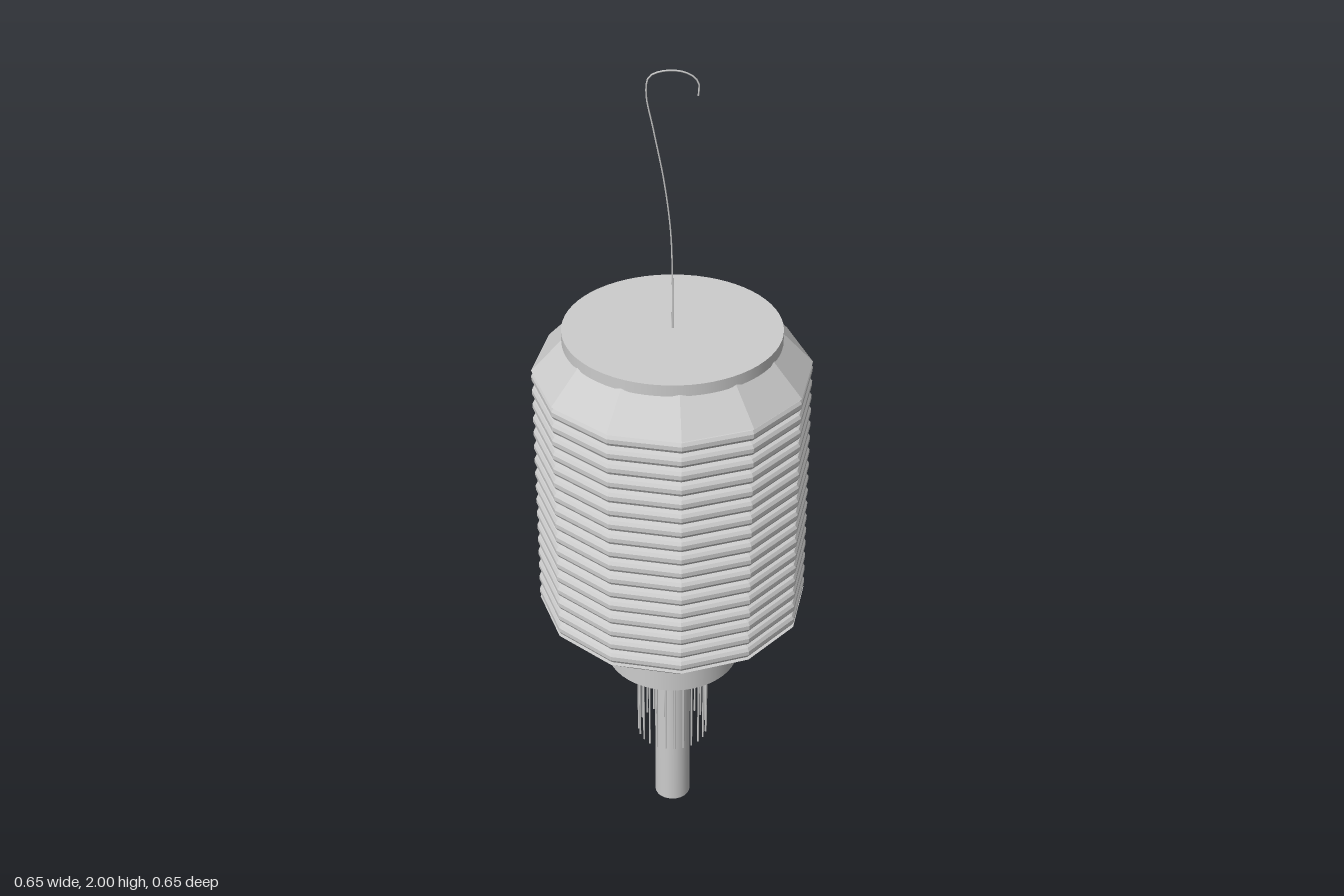
import * as THREE from 'three';

export function createModel() {
  const group = new THREE.Group();
  const grey = new THREE.MeshStandardMaterial({ color: 0xcccccc });
  grey.name = 'lightGrey';
  const greyFlat = new THREE.MeshStandardMaterial({ color: 0xcccccc, flatShading: true });
  greyFlat.name = 'lightGreyFaceted';

  const add = (name, geometry, material = grey, parent = group) => {
    const mesh = new THREE.Mesh(geometry, material);
    mesh.name = name;
    parent.add(mesh);
    return mesh;
  };
  // Upright cylinder between two heights
  const post = (name, r, y0, y1, sides, parent = group) => {
    const mesh = add(name, new THREE.CylinderGeometry(r, r, y1 - y0, sides), grey, parent);
    mesh.position.y = (y0 + y1) / 2;
    return mesh;
  };

  // Twelve-sided shade: sloped ends with a stack of rounded ribs between
  const ribs = 17, low = 0.635, high = 1.275, step = (high - low) / ribs;
  const profile = [[0, 0.545], [0.21, 0.545], [0.322, low]];
  for (let i = 0; i < ribs; i++) {
    const y = low + i * step;
    for (const [r, t] of [[0.306, 0.03], [0.318, 0.15], [0.323, 0.36], [0.323, 0.64], [0.318, 0.85], [0.306, 0.97]]) {
      profile.push([r, y + t * step]);
    }
  }
  profile.push([0.323, high], [0.243, 1.362], [0, 1.362]);
  add('ribbedShade', new THREE.LatheGeometry(profile.map(([r, y]) => new THREE.Vector2(r, y)), 12), greyFlat);

  // Round caps and central tassel rod
  post('topCap', 0.252, 1.348, 1.376, 64);
  post('bottomCollar', 0.162, 0.455, 0.55, 48);
  post('tasselRod', 0.044, 0, 0.46, 32);

  // Ring of thin tassel strands
  const tassel = new THREE.Group();
  tassel.name = 'tassel';
  group.add(tassel);
  const strands = 24;
  for (let i = 0; i < strands; i++) {
    const a = (i / strands) * Math.PI * 2;
    const strand = post('tasselStrand', 0.0025, 0.205, 0.46, 6, tassel);
    strand.position.x = 0.086 * Math.cos(a);
    strand.position.z = 0.086 * Math.sin(a);
  }

  // Hanging wire with a hooked end
  const wire = new THREE.CatmullRomCurve3([
    [0, 1.37], [0, 1.5], [-0.004, 1.62], [-0.018, 1.74], [-0.04, 1.86], [-0.056, 1.95],
    [-0.05, 1.985], [-0.025, 1.997], [0.015, 1.997], [0.043, 1.985], [0.056, 1.968], [0.055, 1.94],
  ].map(([x, y]) => new THREE.Vector3(x, y, 0)));
  add('hangingWire', new THREE.TubeGeometry(wire, 60, 0.002, 6));

  return group;
}
